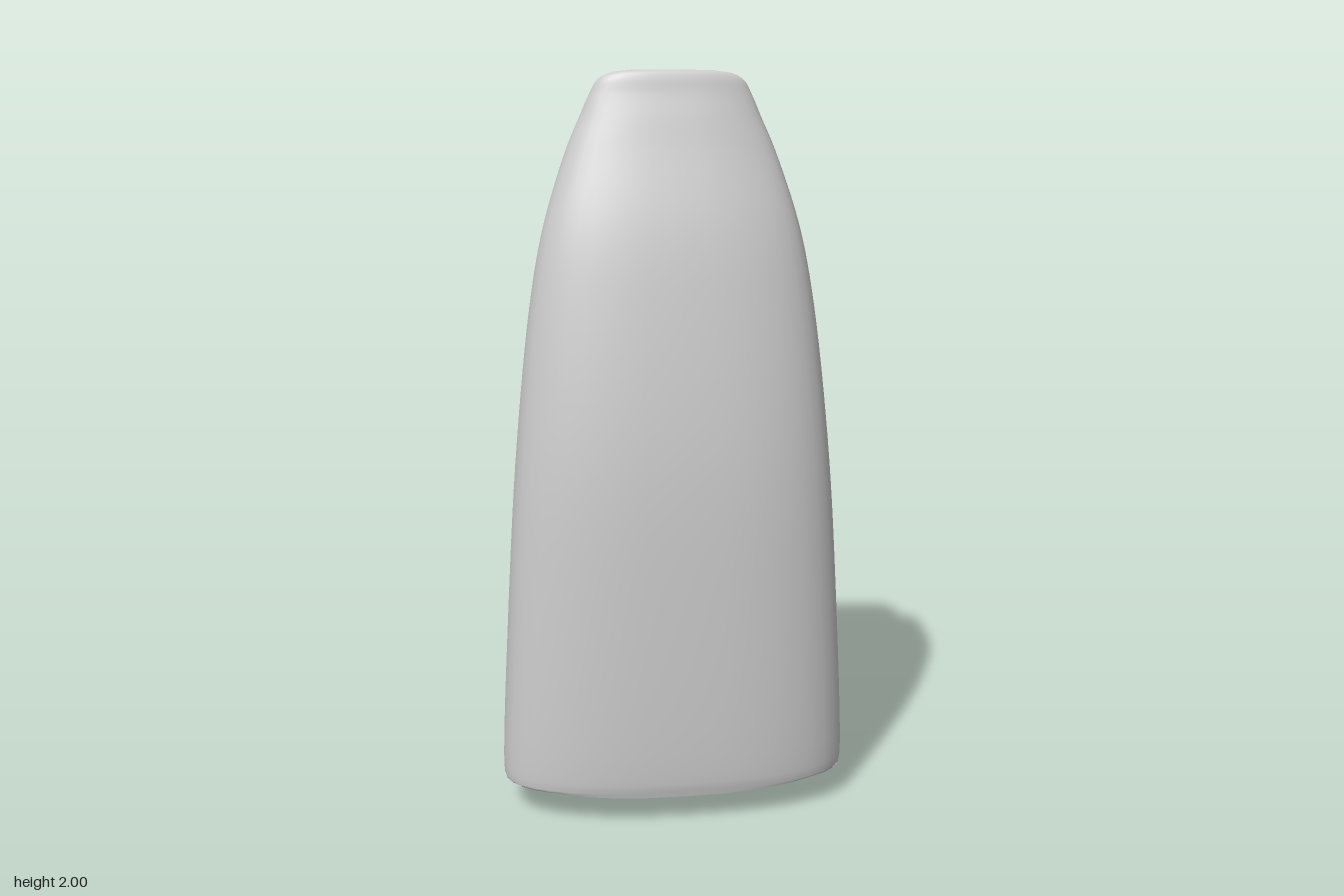
import * as THREE from 'three';

const SEG = 40;

// Closed superellipse loop around (0, zMid), with separate front and back depths
function ringPoint(i, [y, halfX, zFront, zMid, zBack], scale = 1) {
  const a = (i / SEG) * Math.PI * 2;
  const c = Math.cos(a), s = Math.sin(a), p = 2 / 2.5;
  const x = Math.sign(c) * Math.abs(c) ** p * halfX * scale;
  const depth = s > 0 ? zFront - zMid : zMid - zBack;
  return [x, y, zMid + Math.sign(s) * Math.abs(s) ** p * depth * scale];
}

// Skin a list of loops from bottom to top
function skin(loops) {
  const index = [];
  for (let r = 0; r < loops.length - 1; r++) {
    for (let i = 0; i < SEG; i++) {
      const a = r * SEG + i, b = r * SEG + (i + 1) % SEG;
      index.push(a, a + SEG, b, b, a + SEG, b + SEG);
    }
  }
  const geo = new THREE.BufferGeometry();
  geo.setAttribute('position', new THREE.Float32BufferAttribute(loops.flat(2), 3));
  geo.setIndex(index);
  geo.computeVertexNormals();
  return geo;
}

const loop = (fn) => Array.from({ length: SEG }, (_, i) => fn(i));

// Linear-in-y sampling of the smoothed section table
function sampleRows(rows, count) {
  const spread = (k) => new THREE.CatmullRomCurve3(
    rows.map((r) => new THREE.Vector3(r[0], r[k], r[k + 1])), false, 'centripetal');
  const out = [];
  const a = spread(1), b = spread(3);
  for (let i = 0; i <= count; i++) {
    const p = a.getPoint(i / count), q = b.getPoint(i / count);
    out.push([p.x, p.y, p.z, q.x === undefined ? 0 : q.y, q.z]);
  }
  return out;
}

function makeLobe(name, rows, bottomY, material, dent) {
  const group = new THREE.Group();
  group.name = name;
  const sections = sampleRows(rows, 72);
  // shallow trough across the inner face
  if (dent) {
    for (const s of sections) s[4] += dent.depth * Math.exp(-(((s[0] - dent.y) / dent.width) ** 2));
  }
  // rim rises slightly at the sides
  const rim = loop((i) => {
    const p = ringPoint(i, sections[0]);
    p[1] += 0.025 * Math.cos((i / SEG) * Math.PI * 2) ** 2;
    return p;
  });
  const last = sections[sections.length - 1];
  const body = new THREE.Mesh(skin([
    rim,
    ...sections.slice(2).map((s) => loop((i) => ringPoint(i, s))),
    loop((i) => ringPoint(i, last, 0.5)),
    loop((i) => ringPoint(i, last, 0.001)),
  ]), material);
  body.name = name + 'Body';

  // shallow pointed underside
  const base = sections[0], drop = base[0] - bottomY;
  const under = (scale, h) => loop((i) => ringPoint(i, [bottomY + drop * h, ...base.slice(1)], scale));
  const underside = new THREE.Mesh(skin([under(0.001, 0), under(0.6, 0.5), rim]), material);
  underside.name = name + 'Underside';
  group.add(body, underside);
  return group;
}

// Mirrored rows of small conical teeth pointing along dir on z
function addTeeth(group, name, spots, baseZ, dir, material) {
  const geo = new THREE.ConeGeometry(0.016, 0.05, 8);
  geo.rotateX(dir * Math.PI / 2);
  for (const [x, y] of spots) {
    for (const side of [-1, 1]) {
      const tooth = new THREE.Mesh(geo, material);
      tooth.name = name;
      tooth.position.set(side * x, y, baseZ + dir * 0.025);
      group.add(tooth);
    }
  }
}

export function createModel() {
  const model = new THREE.Group();
  model.name = 'toothedJaws';
  const grey = new THREE.MeshStandardMaterial({ color: 0xcccccc });
  grey.name = 'paleGrey';

  // Sections: y, half width, front z, widest z, back z
  const front = makeLobe('frontJaw', [
    [0.075, 0.475, 0.312, 0.1, -0.062],
    [0.12, 0.478, 0.32, 0.1, -0.07],
    [0.6, 0.455, 0.32, 0.1, -0.065],
    [1.0, 0.427, 0.302, 0.095, -0.06],
    [1.4, 0.382, 0.25, 0.08, -0.06],
    [1.6, 0.343, 0.212, 0.07, -0.06],
    [1.8, 0.278, 0.155, 0.05, -0.062],
    [1.88, 0.243, 0.133, 0.045, -0.056],
    [1.94, 0.216, 0.115, 0.05, -0.03],
    [1.975, 0.195, 0.107, 0.055, -0.005],
    [1.992, 0.165, 0.101, 0.06, 0.015],
    [2.0, 0.11, 0.092, 0.065, 0.035],
  ], 0, grey, { y: 1.27, depth: 0.042, width: 0.07 });
  addTeeth(front, 'frontJawTooth',
    [[0.2, 1.79], [0.24, 1.39], [0.285, 1.02], [0.335, 0.64]], -0.036, -1, grey);

  const rear = makeLobe('rearJaw', [
    [0.075, 0.41, -0.075, -0.145, -0.272],
    [0.12, 0.415, -0.07, -0.145, -0.28],
    [0.5, 0.412, -0.07, -0.15, -0.308],
    [0.9, 0.4, -0.072, -0.155, -0.322],
    [1.2, 0.375, -0.075, -0.155, -0.315],
    [1.5, 0.335, -0.078, -0.155, -0.295],
    [1.7, 0.28, -0.083, -0.16, -0.27],
    [1.79, 0.24, -0.095, -0.17, -0.253],
    [1.85, 0.205, -0.122, -0.18, -0.237],
    [1.885, 0.165, -0.15, -0.185, -0.222],
    [1.9, 0.1, -0.175, -0.19, -0.208],
  ], 0.02, grey);
  addTeeth(rear, 'rearJawTooth',
    [[0.18, 1.62], [0.22, 1.19], [0.26, 0.78]], -0.106, 1, grey);

  model.add(front, rear);
  return model;
}
